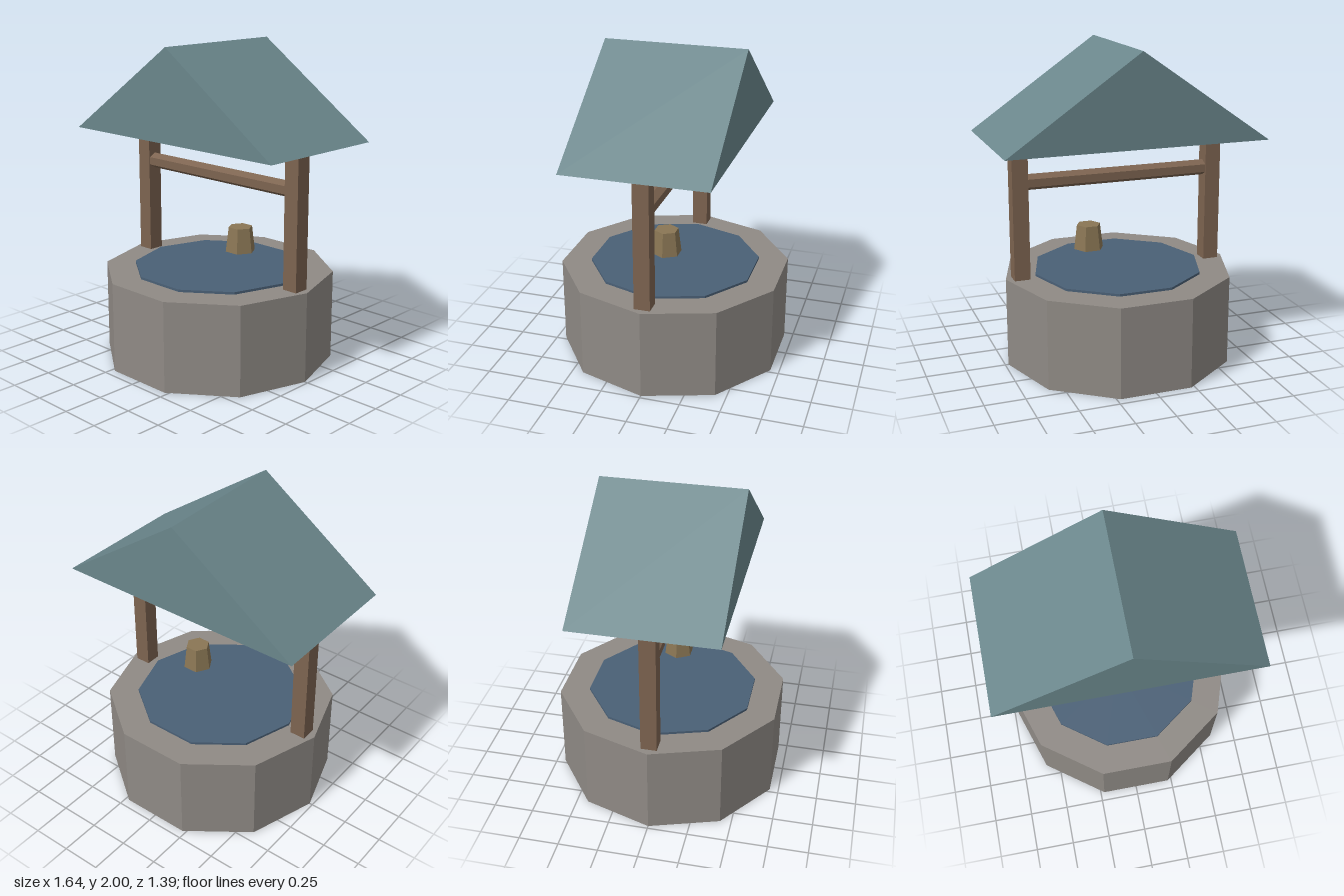
import * as THREE from 'three';

const mat = (color) => new THREE.MeshStandardMaterial({ color, flatShading: true });

export function createModel() {
  const well = new THREE.Group();
  const stone = mat(0x8f8a85), water = mat(0x4a6076), wood = mat(0x7d6450);
  const bucketWood = mat(0x8a7654), slate = mat(0x6a868b);

  const add = (name, geometry, material, x, y, z = 0) => {
    const mesh = new THREE.Mesh(geometry, material);
    mesh.name = name;
    mesh.position.set(x, y, z);
    well.add(mesh);
    return mesh;
  };
  // Faceted cylinder with a corner pointing along x
  const prism = (rTop, rBottom, height, sides) =>
    new THREE.CylinderGeometry(rTop, rBottom, height, sides, 1, false, Math.PI / 2);

  // Ten-sided stone base with the water disc just above its rim
  add('stoneBase', prism(0.73, 0.73, 0.57, 10), stone, 0, 0.285);
  add('water', prism(0.54, 0.54, 0.04, 10), water, 0, 0.565);

  // Posts on either side
  for (const [name, side] of [['leftPost', 1], ['rightPost', -1]]) {
    add(name, new THREE.BoxGeometry(0.1, 0.86, 0.1), wood, side * 0.635, 1.0);
  }

  // Hexagonal crossbar between the posts
  add('crossbar', prism(0.05, 0.05, 1.17, 6), wood, 0, 1.18).rotation.z = Math.PI / 2;

  // Upturned hexagonal bucket
  add('bucket', prism(0.076, 0.095, 0.155, 6), bucketWood, 0.19, 0.797);

  // Solid gabled roof
  const gable = new THREE.Shape();
  gable.moveTo(-0.82, 0);
  gable.lineTo(0.82, 0);
  gable.lineTo(0, 0.57);
  gable.closePath();
  const roof = new THREE.ExtrudeGeometry(gable, { depth: 0.886, bevelEnabled: false });
  add('roof', roof, slate, 0, 1.43, -0.443);

  return well;
}
